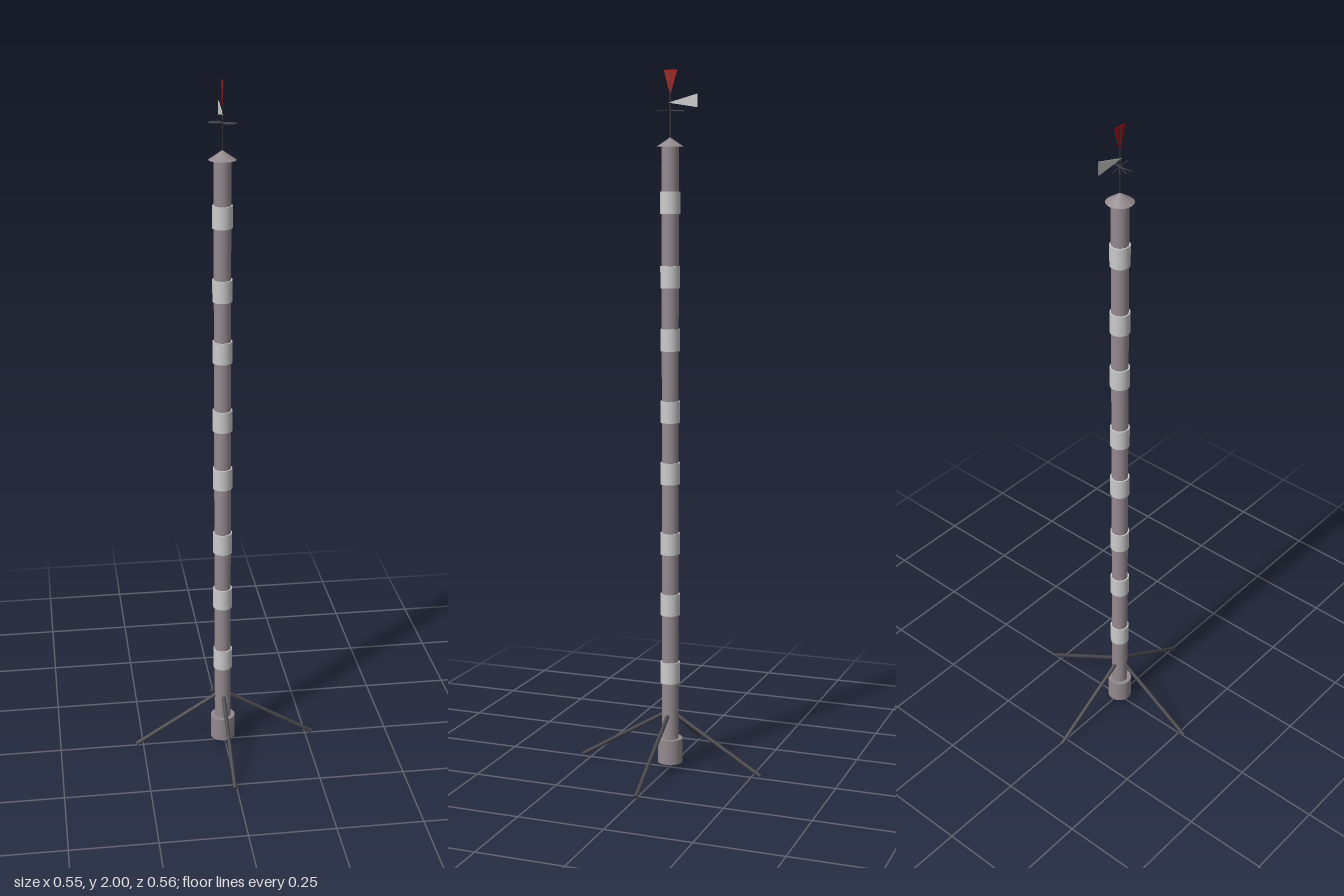
import * as THREE from 'three';

const CX = -0.006; // pole axis

const material = (color) => new THREE.MeshStandardMaterial({ color, side: THREE.DoubleSide });
const poleMat = material(0x948a8f);
const bandMat = material(0xcccccc);
const legMat = material(0x45444a);
const redMat = material(0xa01010);
const steelMat = material(0x3c3c42);

function add(parent, name, geometry, mat, x = 0, y = 0, z = 0) {
  const mesh = new THREE.Mesh(geometry, mat);
  mesh.name = name;
  mesh.position.set(x, y, z);
  parent.add(mesh);
  return mesh;
}

// Cylinder running between two points
function rod(parent, name, a, b, radius, mat, sides = 12) {
  const dir = b.clone().sub(a);
  const mesh = add(parent, name, new THREE.CylinderGeometry(radius, radius, dir.length(), sides), mat);
  mesh.position.copy(a).add(b).multiplyScalar(0.5);
  mesh.quaternion.setFromUnitVectors(new THREE.Vector3(0, 1, 0), dir.normalize());
  return mesh;
}

// Thin plate outlined in (z, y), lying in the plane x = 0
function plate(parent, name, points, mat) {
  const shape = new THREE.Shape(points.map(([z, y]) => new THREE.Vector2(-z, y)));
  const geometry = new THREE.ExtrudeGeometry(shape, { depth: 0.002, bevelEnabled: false });
  geometry.translate(0, 0, -0.001).rotateY(Math.PI / 2);
  return add(parent, name, geometry, mat);
}

export function createModel() {
  const model = new THREE.Group();
  model.name = 'weatherVanePole';

  const mast = new THREE.Group();
  mast.name = 'mast';
  mast.position.x = CX;
  model.add(mast);

  // Main pole, foot and conical cap
  add(mast, 'pole', new THREE.CylinderGeometry(0.024, 0.024, 1.74, 32), poleMat, 0, 0.925);
  add(mast, 'foot', new THREE.CylinderGeometry(0.036, 0.036, 0.072, 32), poleMat, 0, 0.054);
  add(mast, 'cap', new THREE.ConeGeometry(0.038, 0.026, 32), poleMat, 0, 1.804);

  // Collars around the pole
  for (const y of [0.288, 0.49, 0.669, 0.873, 1.05, 1.254, 1.431, 1.637]) {
    add(mast, 'collar', new THREE.CylinderGeometry(0.028, 0.028, 0.062, 32), bandMat, 0, y);
  }

  // Four splayed legs
  const tips = [[0.27, 0], [-0.27, 0], [0, 0.276], [0, -0.276]];
  for (const [x, z] of tips) {
    const top = new THREE.Vector3(CX + Math.sign(x) * 0.008, 0.168, Math.sign(z) * 0.008);
    const tip = new THREE.Vector3(x || CX, 0.007, z);
    rod(model, 'leg', top, tip, 0.0058, legMat);
  }

  // Spire with crossed rods
  add(mast, 'spire', new THREE.CylinderGeometry(0.0015, 0.0015, 0.19, 8), steelMat, 0, 1.9);
  for (let i = 0; i < 4; i++) {
    const a = THREE.MathUtils.degToRad(i * 26);
    const end = new THREE.Vector3(Math.cos(a) * 0.039, 1.889, Math.sin(a) * 0.039);
    const start = new THREE.Vector3(-end.x, end.y, -end.z);
    rod(mast, 'crossRod', start, end, 0.0015, steelMat, 8);
  }

  // Vane tail pointing back and red pennant on top
  plate(mast, 'vane', [[0.006, 1.911], [-0.08, 1.897], [-0.08, 1.934]], bandMat);
  plate(mast, 'pennant', [[0, 1.93], [-0.021, 2], [0.019, 2]], redMat);

  return model;
}
